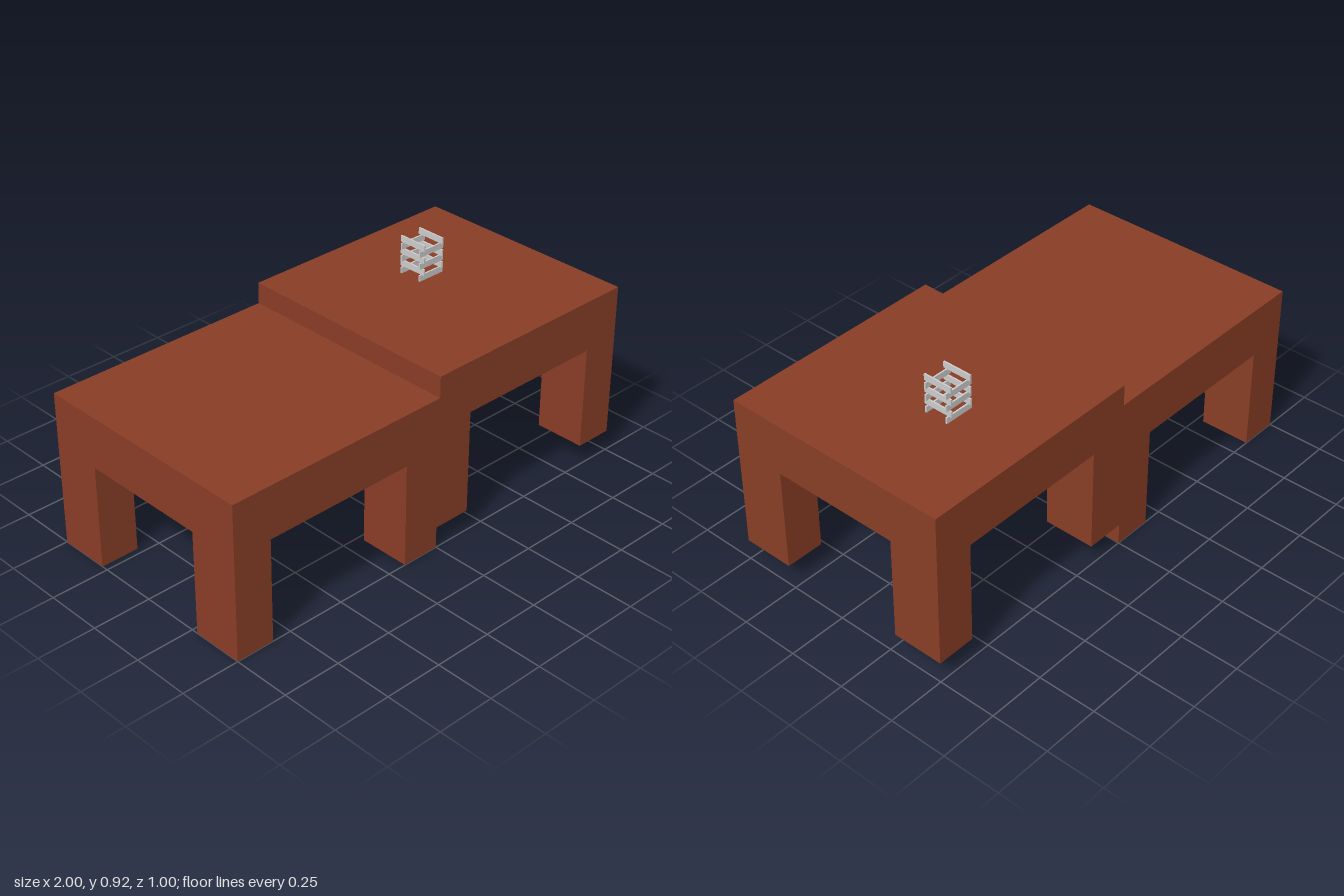
import * as THREE from 'three';

const wood = new THREE.MeshStandardMaterial({ color: 0x883d26, flatShading: true });
const grey = new THREE.MeshStandardMaterial({ color: 0xcccccc, flatShading: true });

function box(name, w, h, d, x, y, z, material) {
  const mesh = new THREE.Mesh(new THREE.BoxGeometry(w, h, d), material);
  mesh.name = name;
  mesh.position.set(x, y, z);
  return mesh;
}

// Thick square top on four corner legs, standing on the group's origin
function createTable(name) {
  const table = new THREE.Group();
  table.name = name;
  const height = 0.667, thick = 0.222, legW = 0.167, legD = 0.222;
  const legH = height - thick;
  table.add(box('tableTop', 1, thick, 1, 0, height - thick / 2, 0, wood));
  for (const sx of [-1, 1]) {
    for (const sz of [-1, 1]) {
      table.add(box('leg', legW, legH, legD, sx * (1 - legW) / 2, legH / 2, sz * (1 - legD) / 2, wood));
    }
  }
  return table;
}

// Thin planks laid on edge in crossing pairs, six layers high
function createStack() {
  const stack = new THREE.Group();
  stack.name = 'plankStack';
  const length = 0.13, layer = 0.0263, thin = 0.007, offset = 0.05;
  for (let i = 0; i < 6; i++) {
    const y = (i + 0.5) * layer;
    for (const s of [-1, 1]) {
      stack.add(i % 2 === 0
        ? box('crossPlank', length, layer, thin, 0, y, s * offset, grey)
        : box('sidePlank', thin, layer, length, s * offset, y, 0, grey));
    }
  }
  return stack;
}

export function createModel() {
  const model = new THREE.Group();
  model.name = 'tablesWithPlankStack';

  const lowTable = createTable('lowTable');
  lowTable.position.set(-0.5, 0, 0);

  const raisedTable = createTable('raisedTable');
  raisedTable.position.set(0.5, 0.091, 0);

  const stack = createStack();
  stack.position.set(0.53, 0.758, -0.12);

  model.add(lowTable, raisedTable, stack);
  return model;
}
